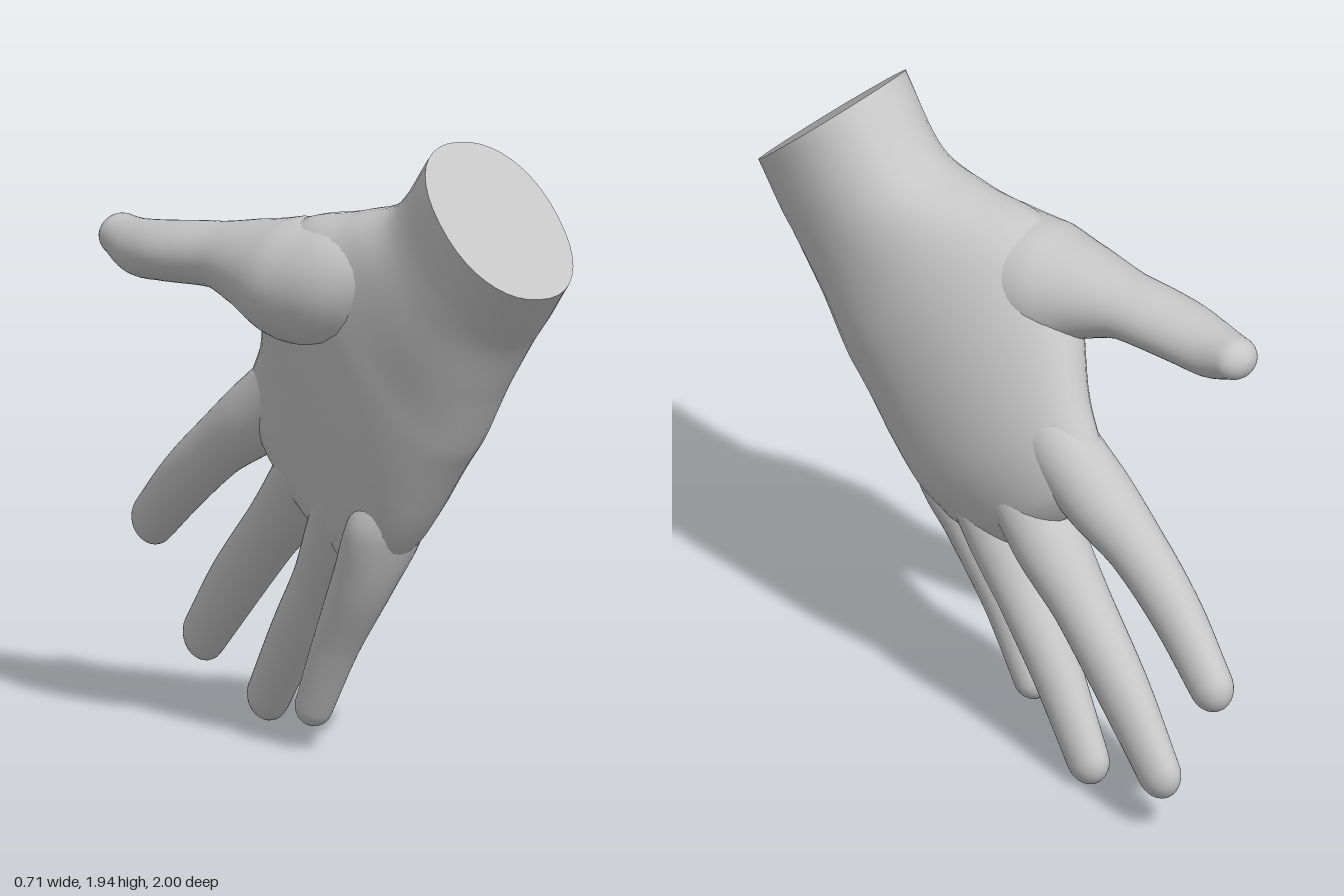
import * as THREE from 'three';

const SIDES = 40;
const V = (x, y, z) => new THREE.Vector3(x, y, z);
const skin = new THREE.MeshStandardMaterial({ color: 0xc6c6c6 });
skin.name = 'plain grey';

// Joins rings of points; each section has centre c, half-axes u and v,
// and w, which pushes the middle of the section forward or outward.
function loft(sections, power = 1) {
  const round = (n) => Math.sign(n) * Math.abs(n) ** power;
  const positions = [], index = [];
  sections.forEach(({ c, u, v, w }, i) => {
    for (let j = 0; j < SIDES; j++) {
      const a = (j / SIDES) * Math.PI * 2;
      const s = round(Math.cos(a)), t = round(Math.sin(a));
      const p = c.clone().addScaledVector(u, s).addScaledVector(v, t);
      if (w) p.addScaledVector(w, 1 - s * s);
      positions.push(p.x, p.y, p.z);
      if (i === 0) continue;
      const k = (j + 1) % SIDES, lo = (i - 1) * SIDES, hi = i * SIDES;
      index.push(lo + j, lo + k, hi + j, lo + k, hi + k, hi + j);
    }
  });
  const geometry = new THREE.BufferGeometry();
  geometry.setAttribute('position', new THREE.Float32BufferAttribute(positions, 3));
  geometry.setIndex(index);
  geometry.computeVertexNormals();
  return geometry;
}

function part(name, geometry) {
  const mesh = new THREE.Mesh(geometry, skin);
  mesh.name = name;
  return mesh;
}

// Tapered finger with a round tip; each point is x, y, z, width radius, thickness radius
function finger(name, points) {
  const path = new THREE.CatmullRomCurve3(points.map(([x, y, z]) => V(x, y, z)));
  const radii = new THREE.CatmullRomCurve3(points.map((p) => V(p[3], p[4], 0)));
  const sections = [];
  const add = (t, push, scale) => {
    const d = path.getTangent(t), r = radii.getPoint(t);
    const u = V(0, -d.z, d.y).normalize();
    const v = d.clone().cross(u);
    sections.push({
      c: path.getPoint(t).addScaledVector(d, push * r.x),
      u: u.multiplyScalar(r.x * scale),
      v: v.multiplyScalar(r.y * scale),
    });
  };
  for (let i = 0; i <= 32; i++) add(i / 32, 0, 1);
  for (let i = 1; i <= 8; i++) {
    const a = (i / 8) * Math.PI / 2;
    add(1, Math.sin(a), i === 8 ? 0 : Math.cos(a));
  }
  return part(name, loft(sections));
}

// Palm sections: outer edge x, y, z; thumb edge x, y, z; half thickness; forward bow; arch
const PALM_POWER = 0.9;
const PALM = [
  [0.125, 1.545, 1.0, 0.125, 1.94, 0.55, 0.23, 0, 0],
  [0.12, 1.37, 0.85, 0.1, 1.75, 0.385, 0.22, 0, 0.005],
  [0.1, 1.19, 0.73, 0.02, 1.685, 0.22, 0.217, 0, 0.03],
  [0.085, 0.99, 0.61, -0.07, 1.625, 0.02, 0.215, 0, 0.06],
  [0.065, 0.815, 0.485, -0.06, 1.43, -0.15, 0.195, 0.02, 0.055],
  [0.05, 0.69, 0.39, 0.0, 1.21, -0.285, 0.165, 0.04, 0.04],
  [0.03, 0.61, 0.305, 0.01, 1.04, -0.4, 0.12, 0.055, 0.04],
  [0.02, 0.58, 0.23, 0.01, 0.92, -0.36, 0.07, 0.065, 0.04],
  [0.02, 0.58, 0.2, 0.01, 0.88, -0.33, 0, 0.07, 0.04],
];

function palmSections() {
  const curve = (pick) => new THREE.CatmullRomCurve3(PALM.map(pick));
  const curves = {
    c: curve(([ax, ay, az, bx, by, bz]) => V(ax + bx, ay + by, az + bz).multiplyScalar(0.5)),
    u: curve(([ax, ay, az, bx, by, bz]) => V(bx - ax, by - ay, bz - az).multiplyScalar(0.5)),
    v: curve((p) => V(p[6], -0.1 * p[6], -0.15 * p[6])),
    w: curve((p) => V(p[8], -0.85 * p[7], -0.5 * p[7])),
  };
  const sections = [];
  for (let i = 0; i <= 56; i++) {
    const s = {};
    for (const key in curves) s[key] = curves[key].getPoint(i / 56);
    sections.push(s);
  }
  return sections;
}

export function createModel() {
  const hand = new THREE.Group();
  hand.name = 'hand';

  // Palm and the flat end of the wrist
  const sections = palmSections();
  const rim = sections[0];
  const middle = { c: rim.c, u: V(0, 0, 0), v: V(0, 0, 0) };
  hand.add(part('palm', loft(sections, PALM_POWER)));
  hand.add(part('wristEnd', loft([middle, { c: rim.c, u: rim.u, v: rim.v }], PALM_POWER)));

  // Thumb with the fleshy mound at its base
  hand.add(finger('thumb', [
    [0.09, 1.52, 0.58, 0.06, 0.08],
    [0.02, 1.5, 0.38, 0.14, 0.15],
    [-0.05, 1.455, 0.19, 0.195, 0.19],
    [-0.105, 1.45, 0.01, 0.19, 0.19],
    [-0.15, 1.47, -0.14, 0.14, 0.15],
    [-0.19, 1.478, -0.28, 0.1, 0.115],
    [-0.245, 1.462, -0.46, 0.092, 0.108],
    [-0.268, 1.452, -0.59, 0.087, 0.09],
    [-0.272, 1.47, -0.69, 0.066, 0.072],
  ]));

  // Four fingers, each rising gently out of the palm as a knuckle ridge
  hand.add(finger('indexFinger', [
    [0.045, 1.2, -0.05, 0.08, 0.05],
    [0.035, 1.07, -0.22, 0.12, 0.11],
    [0.01, 0.95, -0.375, 0.116, 0.11],
    [-0.02, 0.825, -0.55, 0.095, 0.087],
    [-0.03, 0.685, -0.73, 0.09, 0.075],
    [-0.015, 0.535, -0.92, 0.08, 0.062],
  ]));
  hand.add(finger('middleFinger', [
    [0.06, 1.06, 0.06, 0.08, 0.06],
    [0.065, 0.89, -0.09, 0.122, 0.125],
    [0.075, 0.74, -0.235, 0.116, 0.112],
    [0.07, 0.585, -0.4, 0.097, 0.088],
    [0.07, 0.39, -0.6, 0.095, 0.075],
    [0.075, 0.2, -0.78, 0.082, 0.058],
  ]));
  hand.add(finger('ringFinger', [
    [0.06, 0.96, 0.22, 0.08, 0.06],
    [0.06, 0.79, 0.1, 0.115, 0.13],
    [0.065, 0.63, -0.01, 0.112, 0.112],
    [0.07, 0.48, -0.125, 0.092, 0.088],
    [0.07, 0.3, -0.265, 0.086, 0.073],
    [0.08, 0.077, -0.435, 0.077, 0.058],
  ]));
  hand.add(finger('littleFinger', [
    [0.05, 0.9, 0.37, 0.06, 0.05],
    [0.035, 0.72, 0.28, 0.095, 0.125],
    [0.015, 0.56, 0.2, 0.093, 0.097],
    [0.0, 0.34, 0.07, 0.076, 0.068],
    [-0.01, 0.13, -0.04, 0.062, 0.055],
  ]));

  return hand;
}
